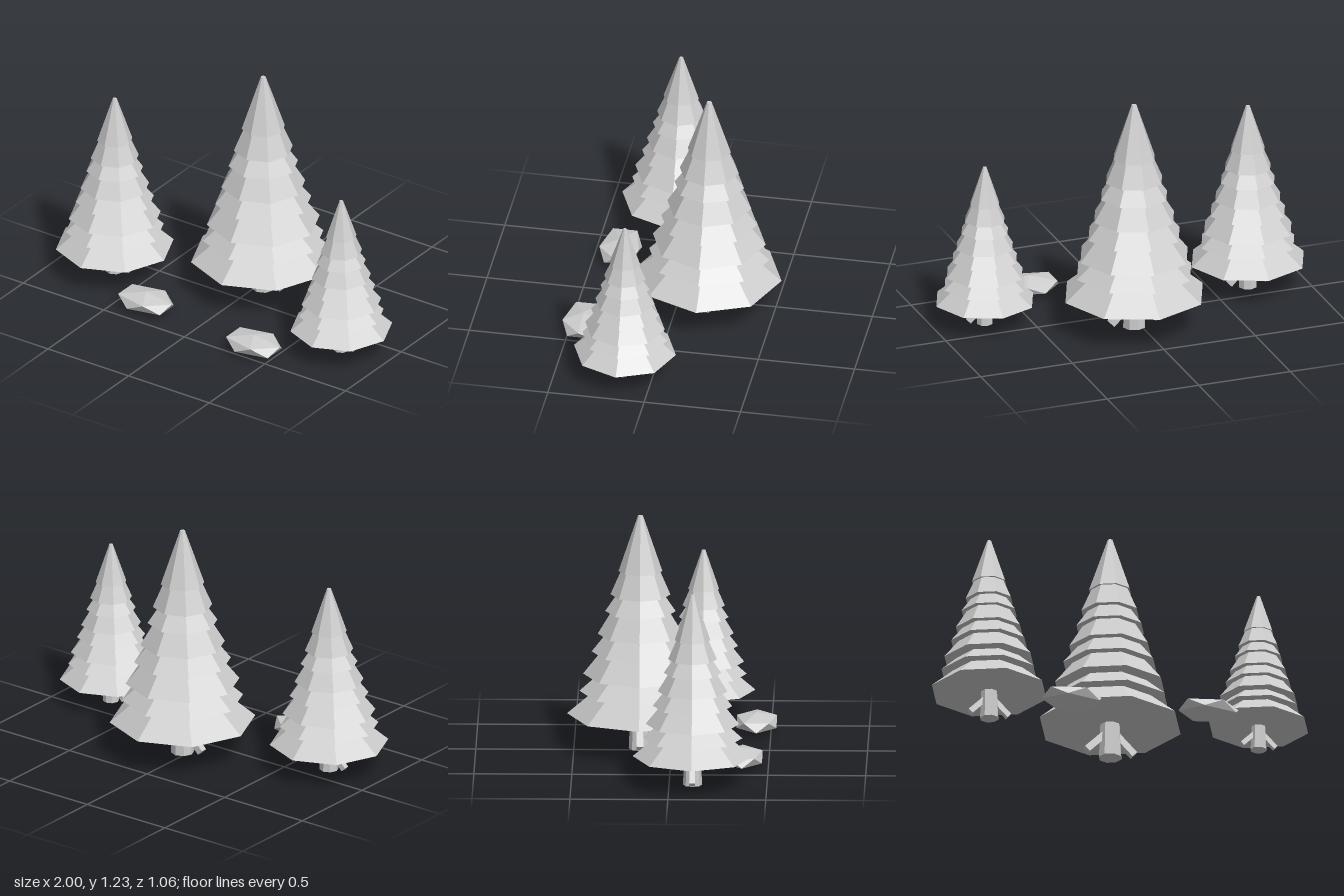
import * as THREE from 'three';

// Split shared vertices so every facet is shaded flat
function faceted(geometry) {
  const g = geometry.index ? geometry.toNonIndexed() : geometry;
  g.computeVertexNormals();
  return g;
}

export function createModel() {
  const grey = new THREE.MeshStandardMaterial({ color: 0xcccccc });
  grey.name = 'light grey';

  const add = (parent, name, geometry) => {
    const mesh = new THREE.Mesh(faceted(geometry), grey);
    mesh.name = name;
    parent.add(mesh);
    return mesh;
  };

  // Foliage tiers: [height of skirt, skirt radius, radius where the next tier begins]
  const tiers = [
    [0.183, 0.375, 0.235],
    [0.302, 0.312, 0.21],
    [0.393, 0.293, 0.2],
    [0.51, 0.249, 0.175],
    [0.604, 0.218, 0.146],
    [0.724, 0.18, 0.12],
    [0.812, 0.153, 0.1],
    [0.935, 0.112, 0.013],
  ];
  const topY = 1.227;

  function makeTree(name, x, z, scale) {
    const tree = new THREE.Group();
    tree.name = name;

    // Stepped octagonal crown with a flat underside and a blunt tip
    const profile = [new THREE.Vector2(0, tiers[0][0])];
    tiers.forEach(([y, skirt, neck], i) => {
      const nextY = i + 1 < tiers.length ? tiers[i + 1][0] : topY;
      profile.push(new THREE.Vector2(skirt, y), new THREE.Vector2(neck, nextY));
    });
    profile.push(new THREE.Vector2(0, topY));
    add(tree, 'foliage', new THREE.LatheGeometry(profile, 8));

    // Trunk, slightly wider at the foot
    add(tree, 'trunk', new THREE.CylinderGeometry(0.052, 0.06, 0.19, 8).translate(0, 0.095, 0));

    // Slanted square roots on both sides
    for (const side of [-1, 1]) {
      const root = add(tree, side > 0 ? 'leftRoot' : 'rightRoot',
        new THREE.BoxGeometry(0.036, 0.13, 0.036).translate(0, 0.065, 0));
      root.position.set(side * 0.126, 0.031, 0);
      root.rotation.z = side * Math.PI / 4;
    }

    tree.position.set(x, 0, z);
    tree.scale.setScalar(scale);
    return tree;
  }

  // Flattened icosahedron standing on one of its points
  function makeRock(name, x, z) {
    const geometry = new THREE.IcosahedronGeometry(1, 0)
      .rotateZ(-Math.atan(2 / (1 + Math.sqrt(5))))
      .scale(0.179, 0.049, 0.12)
      .translate(x, 0.053, z);
    return add(model, name, geometry);
  }

  const model = new THREE.Group();
  model.name = 'pineGrove';
  model.add(
    makeTree('tallTree', 0.033, -0.16, 1),
    makeTree('mediumTree', -0.695, 0.12, 0.815),
    makeTree('smallTree', 0.731, 0.149, 0.705),
  );
  makeRock('rightRock', -0.33, 0.367);
  makeRock('leftRock', 0.381, 0.427);
  return model;
}
